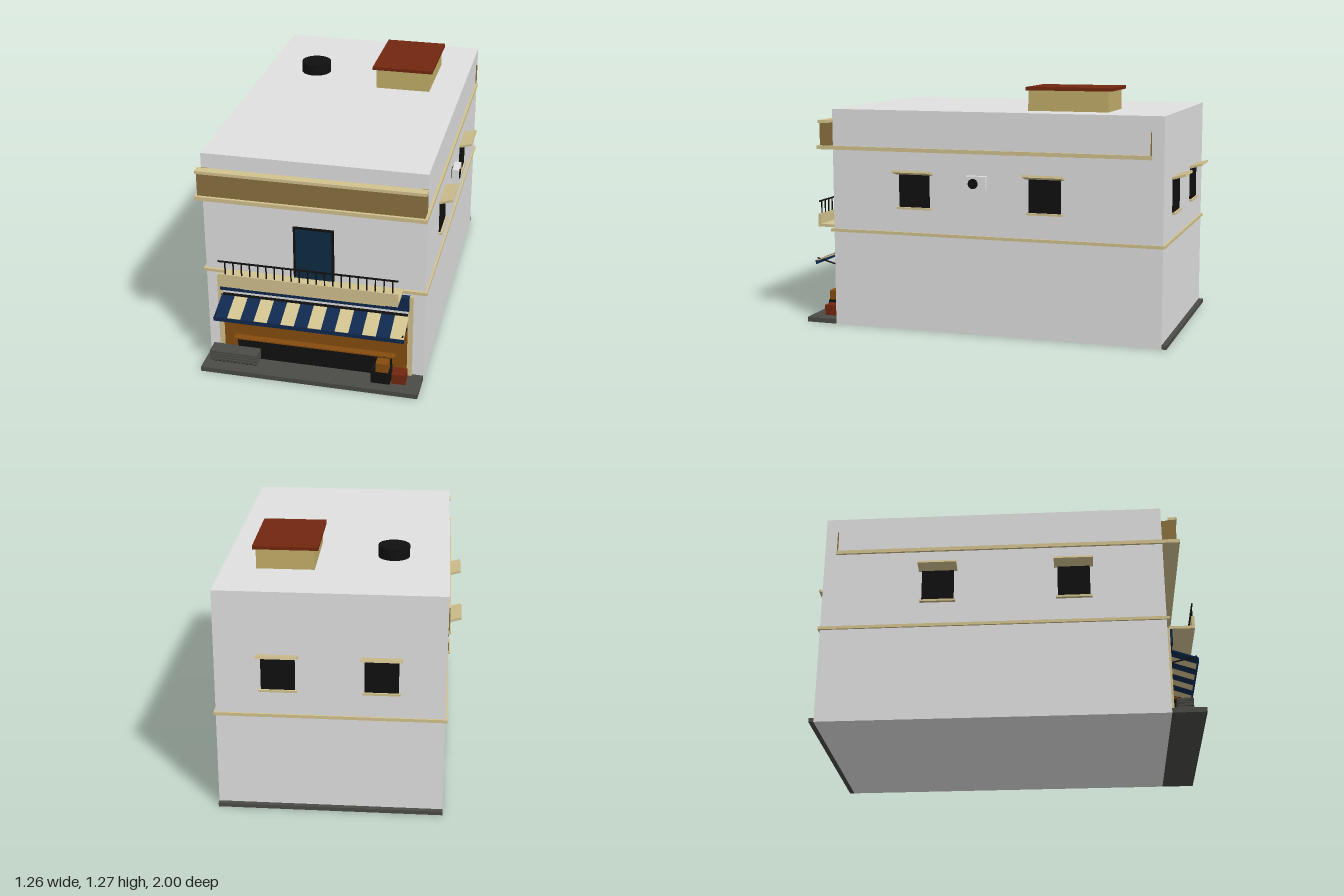
import * as THREE from 'three';

const paint = (name, color) => {
  const m = new THREE.MeshStandardMaterial({ color });
  m.name = name;
  return m;
};

export function createModel() {
  const white = paint('white plaster', 0xe0e0e0);
  const cream = paint('cream trim', 0xd2c28f);
  const ochre = paint('ochre', 0x8a713f);
  const sand = paint('sand', 0xc2ae69);
  const red = paint('brick red', 0x72260f);
  const navy = paint('navy', 0x0f294f);
  const wood = paint('wood', 0x864c0e);
  const slab = paint('pavement', 0x4a4a46);
  const black = paint('black', 0x101010);
  const glass = paint('door glass', 0x0e2a42);

  const model = new THREE.Group();
  model.name = 'shopBuilding';

  const add = (parent, name, geometry, material) => {
    const mesh = new THREE.Mesh(geometry, material);
    mesh.name = name;
    parent.add(mesh);
    return mesh;
  };
  // Box given by its lower and upper limits on each axis
  const box = (name, mat, x0, x1, y0, y1, z0, z1, parent = model) => {
    const m = add(parent, name, new THREE.BoxGeometry(x1 - x0, y1 - y0, z1 - z0), mat);
    m.position.set((x0 + x1) / 2, (y0 + y1) / 2, (z0 + z1) / 2);
    return m;
  };

  // Main block and pavement
  box('walls', white, -0.56, 0.56, 0, 1.15, -0.93, 0.83);
  box('frontPavement', slab, -0.56, 0.56, 0, 0.025, 0.83, 1);
  box('backPlinth', slab, -0.56, 0.56, 0, 0.02, -0.955, -0.93);

  // Trim bands
  box('floorBand', cream, -0.57, 0.57, 0.502, 0.518, -0.94, 0.845);
  box('cornice', cream, -0.572, 0.572, 0.937, 0.957, -0.87, 0.92);

  // Hollow front parapet with its cap
  box('parapetFront', ochre, -0.56, 0.56, 0.957, 1.075, 0.868, 0.905);
  box('parapetCap', cream, -0.567, 0.567, 1.075, 1.09, 0.865, 0.912);
  for (const s of [-1, 1]) {
    const a = s * 0.53, b = s * 0.56;
    box('parapetSide', ochre, Math.min(a, b), Math.max(a, b), 0.957, 1.075, 0.83, 0.868);
    const post = box('cornicePost', ochre, -0.004, 0.004, 0.957, 1.07, -0.868, -0.863);
    post.position.x = s * 0.563;
  }

  // Roof items
  const tank = add(model, 'waterTank', new THREE.CylinderGeometry(0.08, 0.08, 0.06, 32), black);
  tank.position.set(-0.28, 1.18, -0.37);
  box('roofHut', sand, 0.1, 0.39, 1.15, 1.255, -0.61, -0.19);
  box('roofHutCover', red, 0.08, 0.405, 1.255, 1.272, -0.63, -0.18);

  // Windows with an upturned canopy and a sill, facing local +z
  const addWindow = (x, z, turn) => {
    const g = new THREE.Group();
    g.name = 'window';
    box('windowPane', black, -0.083, 0.083, 0.65, 0.825, 0, 0.008, g);
    box('windowSill', cream, -0.092, 0.092, 0.64, 0.651, 0, 0.018, g);
    const canopy = box('windowCanopy', cream, -0.1, 0.1, -0.006, 0.006, -0.036, 0.036, g);
    canopy.position.set(0, 0.833, 0.034);
    canopy.rotation.x = -0.26;
    g.position.set(x, 0, z);
    g.rotation.y = turn;
    model.add(g);
  };
  for (const z of [0.37, -0.33]) {
    addWindow(0.56, z, Math.PI / 2);
    addWindow(-0.56, z, -Math.PI / 2);
  }
  for (const x of [-0.25, 0.25]) addWindow(x, -0.93, Math.PI);

  // Air conditioner on the left wall
  box('airConditioner', white, 0.567, 0.602, 0.755, 0.828, -0.028, 0.08);
  box('airConditionerBracket', black, 0.56, 0.567, 0.765, 0.815, 0, 0.05);
  const fan = add(model, 'airConditionerFan', new THREE.CylinderGeometry(0.026, 0.026, 0.006, 24), black);
  fan.rotation.z = Math.PI / 2;
  fan.position.set(0.603, 0.79, 0.037);

  // Balcony door
  box('doorFrame', black, -0.103, 0.103, 0.518, 0.802, 0.83, 0.837);
  box('doorGlass', glass, -0.09, 0.09, 0.52, 0.79, 0.837, 0.841);

  // Balcony with railing
  box('balconyFloor', cream, -0.45, 0.45, 0.503, 0.518, 0.83, 0.978);
  box('balconyFront', cream, -0.45, 0.45, 0.518, 0.573, 0.963, 0.978);
  box('balconyRail', black, -0.45, 0.45, 0.638, 0.645, 0.967, 0.974);
  for (let i = 0; i < 21; i++) {
    const x = -0.414 + i * 0.0418;
    box('baluster', black, x - 0.003, x + 0.003, 0.573, 0.638, 0.968, 0.973);
  }

  // Shop front
  box('shopPanel', wood, -0.48, 0.48, 0.025, 0.375, 0.83, 0.837);
  box('rightPilaster', cream, -0.503, -0.478, 0.025, 0.485, 0.83, 0.846);
  box('leftPilaster', cream, 0.478, 0.503, 0.025, 0.485, 0.83, 0.846);
  box('signBoard', navy, -0.485, 0.485, 0.41, 0.486, 0.83, 0.86);
  box('signPlate', cream, -0.365, 0.365, 0.43, 0.462, 0.86, 0.866);
  box('counterFront', black, -0.4, 0.4, 0.025, 0.135, 0.837, 0.865);
  box('counterLedge', wood, -0.42, 0.42, 0.135, 0.142, 0.837, 0.875);

  // Striped sloping awning with hanging edge and side arms
  const count = 14, width = 0.965 / count;
  const backY = 0.372, frontY = 0.322, backZ = 0.84, frontZ = 0.98;
  const length = Math.hypot(backY - frontY, frontZ - backZ);
  const slope = Math.atan2(backY - frontY, frontZ - backZ);
  for (let i = 0; i < count; i++) {
    const mat = i % 2 ? cream : navy;
    const stripe = add(model, 'awningStripe', new THREE.BoxGeometry(width, 0.006, length), mat);
    stripe.position.set(-0.4825 + (i + 0.5) * width, (backY + frontY) / 2, (backZ + frontZ) / 2);
    stripe.rotation.x = slope;
  }
  box('awningValance', navy, -0.485, 0.485, 0.302, 0.323, 0.977, 0.983);
  box('awningRoller', black, -0.485, 0.485, 0.371, 0.379, 0.83, 0.846);
  for (const x of [-0.475, 0.475]) {
    const arm = add(model, 'awningArm', new THREE.BoxGeometry(0.006, 0.006, 0.14), black);
    arm.position.set(x, 0.318, 0.908);
    arm.rotation.x = -0.25;
  }

  // Slatted pallet stack
  for (let i = 0; i < 4; i++) {
    const y = 0.034 + i * 0.0145;
    box('palletSlat', slab, -0.53, -0.28, y, y + 0.011, 0.86, 0.94);
  }
  box('palletCore', black, -0.52, -0.29, 0.025, 0.08, 0.87, 0.93);

  // Crates
  box('blackCrate', black, 0.312, 0.41, 0.025, 0.092, 0.865, 0.945);
  box('woodCrate', wood, 0.337, 0.4, 0.092, 0.142, 0.888, 0.945);
  box('redCrate', red, 0.416, 0.486, 0.025, 0.08, 0.865, 0.932);

  return model;
}
